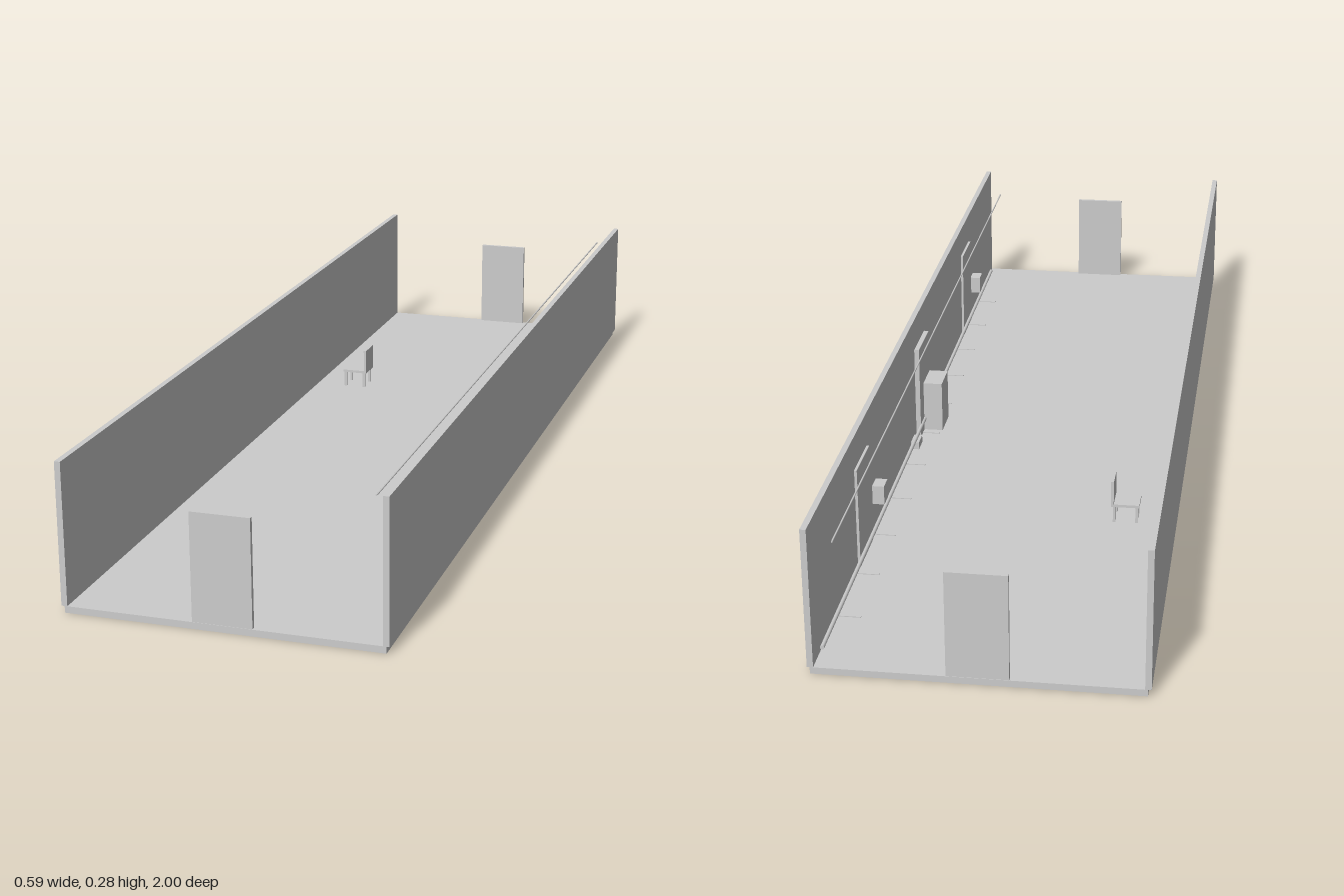
import * as THREE from 'three';

export function createModel() {
  const model = new THREE.Group();
  model.name = 'corridor';
  const grey = new THREE.MeshStandardMaterial({ color: 0xcccccc });
  grey.name = 'plain grey';

  const add = (name, geometry, parent) => {
    const mesh = new THREE.Mesh(geometry, grey);
    mesh.name = name;
    parent.add(mesh);
    return mesh;
  };
  // Box given by its limits along each axis
  const box = (name, [x0, x1], [y0, y1], [z0, z1], parent = model) => {
    const mesh = add(name, new THREE.BoxGeometry(x1 - x0, y1 - y0, z1 - z0), parent);
    mesh.position.set((x0 + x1) / 2, (y0 + y1) / 2, (z0 + z1) / 2);
  };
  // Round bar running along z
  const pipe = (name, x, y, radius, z0, z1) => {
    const geometry = new THREE.CylinderGeometry(radius, radius, z1 - z0, 12).rotateX(Math.PI / 2);
    add(name, geometry, model).position.set(x, y, (z0 + z1) / 2);
  };

  const ground = 0.0125;
  const wallTop = 0.276;
  const doorTop = 0.212;

  // Floor and long walls
  box('floor', [-0.29, 0.289], [0, ground], [-1, 1]);
  box('rightWall', [-0.296, -0.285], [ground, wallTop], [-1, 1]);
  box('leftWall', [0.283, 0.294], [ground, wallTop], [-1, 1]);

  // End doors
  box('frontDoor', [-0.055, 0.054], [ground, doorTop], [0.991, 0.999]);
  box('backDoor', [-0.055, 0.054], [ground, doorTop], [-0.999, -0.991]);

  // Doors along the left wall; the middle one is thicker
  for (const [z, inner] of [[-0.585, 0.278], [0, 0.273], [0.585, 0.278]]) {
    box('sideDoor', [inner, 0.283], [ground, doorTop], [z - 0.055, z + 0.055]);
  }

  // Cabinet, wall boxes and a low floor box
  box('cabinet', [0.2335, 0.273], [ground, 0.12], [-0.016, 0.056]);
  for (const z of [-0.481, 0.678]) {
    box('wallBox', [0.26, 0.283], [0.073, 0.111], [z - 0.017, z + 0.017]);
  }
  box('floorBox', [0.266, 0.283], [ground, 0.028], [-0.118, -0.08]);

  // Overhead cable and low pipe
  pipe('cable', 0.246, 0.243, 0.0016, -0.975, 0.915);
  pipe('lowPipe', 0.272, 0.0375, 0.0038, -0.975, 0.915);

  // Thin floor strips at even steps
  for (let i = 0; i < 11; i++) {
    const z = -0.822 + i * 0.158;
    box('floorStrip', [0.238, 0.28], [ground, ground + 0.0015], [z - 0.003, z + 0.003]);
  }

  // Chair with its back towards the middle of the floor
  const chair = new THREE.Group();
  chair.name = 'chair';
  model.add(chair);
  box('seat', [-0.223, -0.1675], [0.046, 0.0515], [-0.4, -0.347], chair);
  box('backrest', [-0.173, -0.1675], [0.0515, 0.1], [-0.4, -0.347], chair);
  for (const x of [-0.218, -0.174]) {
    for (const z of [-0.395, -0.352]) {
      box('leg', [x - 0.0027, x + 0.0027], [ground, 0.046], [z - 0.0027, z + 0.0027], chair);
    }
  }

  return model;
}
